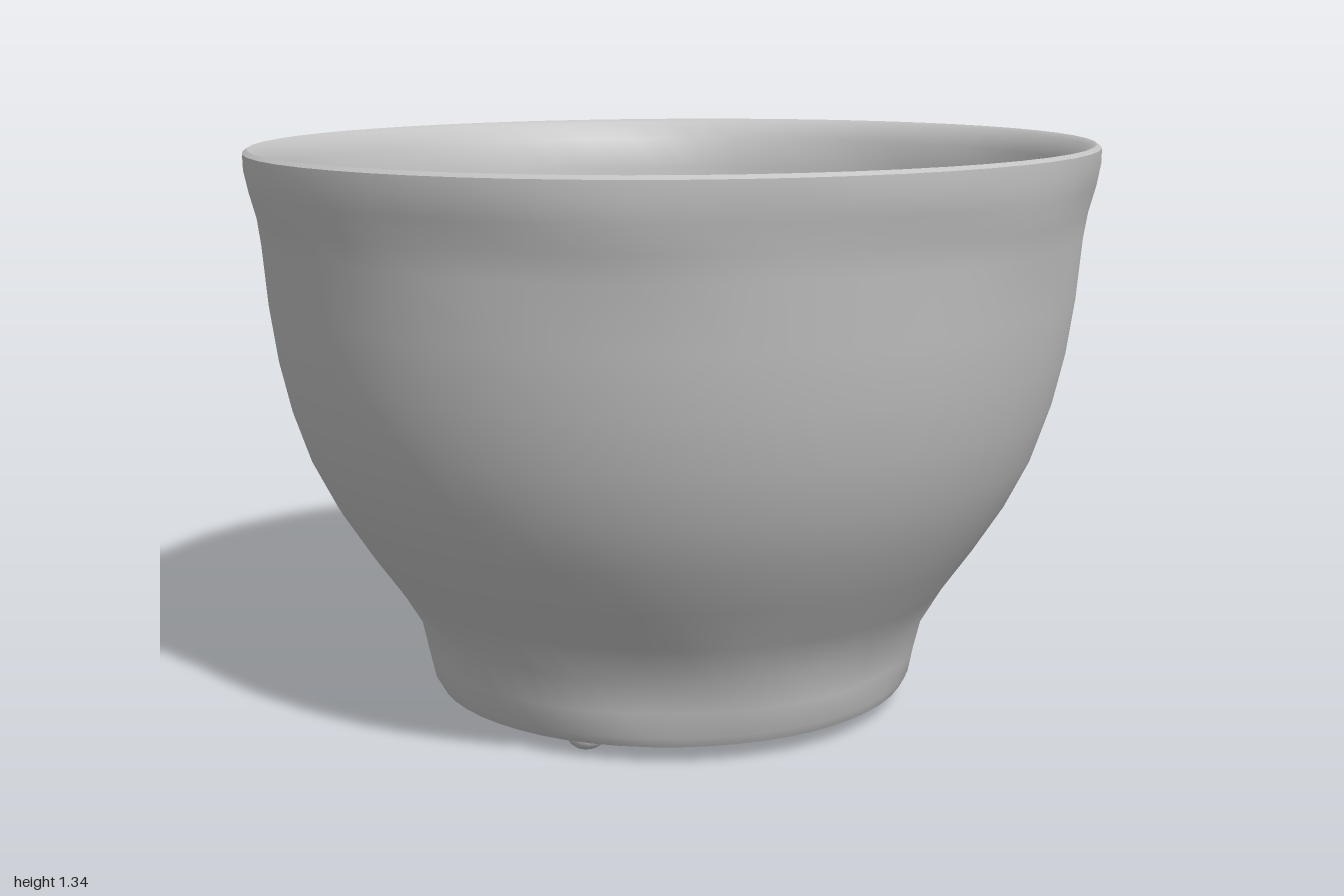
import * as THREE from 'three';
import { mergeVertices, toCreasedNormals } from 'three/addons/utils/BufferGeometryUtils.js';

const SEGMENTS = 56;
const TILT = 0.007; // the pot stands slightly higher on its left

export function createModel() {
  const group = new THREE.Group();
  const clay = new THREE.MeshStandardMaterial({ color: 0xc2c2c2 });
  clay.name = 'grey clay';

  // Shears a geometry to the pot's lean and adds it as a named mesh
  function add(name, geometry) {
    geometry.applyMatrix4(new THREE.Matrix4().set(1, 0, 0, 0, TILT, 1, 0, 0, 0, 0, 1, 0, 0, 0, 0, 1));
    const mesh = new THREE.Mesh(geometry, clay);
    mesh.name = name;
    group.add(mesh);
  }

  // Hand-pressed unevenness, strongest at the foot and under the rim
  function dent(geometry) {
    const p = geometry.attributes.position;
    for (let i = 0; i < p.count; i++) {
      const x = p.getX(i), y = p.getY(i), z = p.getZ(i);
      const a = Math.atan2(x, z);
      const foot = Math.exp(-(((y - 0.16) / 0.08) ** 2));
      const rim = Math.exp(-(((y - 1.2) / 0.08) ** 2));
      const wave = Math.sin(a * 7 + y * 9) + 0.7 * Math.sin(a * 12 - y * 14 + 1);
      const s = 1 + wave * (0.008 * foot + 0.004 * rim);
      p.setXYZ(i, x * s, y, z * s);
    }
    return geometry;
  }

  function lathe(points, rule = (g) => g) {
    let g = new THREE.LatheGeometry(points.map(([r, y]) => new THREE.Vector2(r, y)), SEGMENTS);
    g.deleteAttribute('uv');
    g.deleteAttribute('normal');
    g = mergeVertices(rule(g), 1e-4);
    return toCreasedNormals(g, 0.75);
  }

  // Flat plate with round holes [x, z, radius]
  function plate(radius, top, thickness, holes) {
    const shape = new THREE.Shape().absarc(0, 0, radius, 0, Math.PI * 2);
    for (const [x, z, r] of holes) {
      shape.holes.push(new THREE.Path().absarc(x, z, r, 0, Math.PI * 2, true));
    }
    const g = new THREE.ExtrudeGeometry(shape, { depth: thickness, bevelEnabled: false, curveSegments: SEGMENTS });
    return g.rotateX(Math.PI / 2).translate(0, top, 0);
  }

  // Bowl wall: outside upward, over the rim, inside downward
  add('bowlWall', lathe([
    [0.55, 0.032], [0.572, 0.036], [0.585, 0.06], [0.594, 0.12], [0.612, 0.2],
    [0.67, 0.29], [0.74, 0.39], [0.81, 0.5], [0.865, 0.61], [0.905, 0.73],
    [0.932, 0.85], [0.95, 0.98], [0.962, 1.12], [0.972, 1.18], [0.988, 1.24],
    [0.996, 1.29], [0.996, 1.325], [0.985, 1.333], [0.965, 1.325], [0.94, 1.28],
    [0.928, 1.2], [0.92, 1.1], [0.908, 0.98], [0.888, 0.85], [0.86, 0.73],
    [0.82, 0.61], [0.765, 0.5], [0.7, 0.4], [0.63, 0.3], [0.58, 0.22],
    [0.56, 0.14], [0.545, 0.085], [0.53, 0.07],
  ], dent));

  // Gutter around the floor, pierced by three drain holes
  const drains = [[-0.08, -0.51], [0.49, 0.18], [-0.39, 0.33]];
  add('footGutter', plate(0.56, 0.074, 0.04, [
    [0, 0, 0.46], ...drains.map(([x, z]) => [x, z, 0.026]),
  ]));

  // Sloping step between gutter and raised floor, top and underside
  add('floorStep', lathe([[0.47, 0.07], [0.455, 0.08], [0.42, 0.17], [0.39, 0.2]]));
  add('floorStepUnderside', lathe([[0.4, 0.17], [0.425, 0.15], [0.455, 0.06], [0.475, 0.033]]));

  // Raised floor with the centre drain hole
  add('raisedFloor', plate(0.405, 0.2, 0.03, [[0, 0, 0.04]]));

  // Three small feet, each opposite a drain hole
  for (const [x, z] of drains) {
    add('smallFoot', new THREE.SphereGeometry(0.045, 14, 10).scale(1, 0.75, 1)
      .translate(-x, 0.035, -z));
  }
  return group;
}
